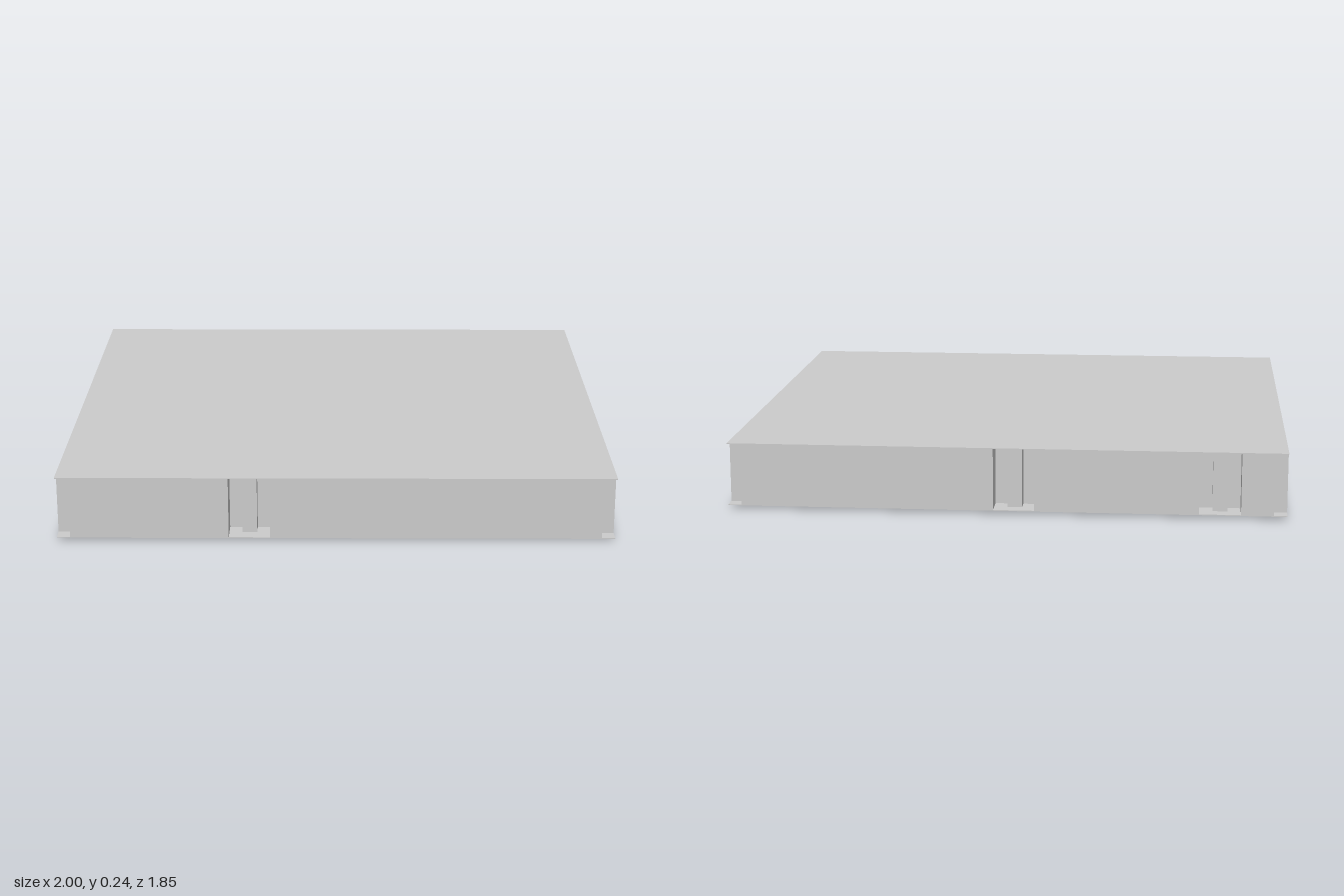
import * as THREE from 'three';

const X0 = -1, X1 = 0.995, Z = 0.925;   // plate extents
const BOTTOM = 0.012, TOP = 0.24, SHEET = 0.003;
const STEP = 0.048;                     // corner cut and slot step

// Each side runs anticlockwise seen from above: start, direction, inward normal, slot starts.
const W = X1 - X0, D = 2 * Z;
const sides = [
  { name: 'front', p: [X0, -Z], d: [1, 0], n: [0, 1], len: W, slots: [0.615] },
  { name: 'left', p: [X1, -Z], d: [0, 1], n: [-1, 0], len: D, slots: [0.155, 0.388, 0.82, 1.512] },
  { name: 'back', p: [X1, Z], d: [-1, 0], n: [0, -1], len: W, slots: [0.955, 1.685] },
  { name: 'right', p: [X0, Z], d: [0, -1], n: [1, 0], len: D, slots: [0.685, 1.115] },
];

// Outline with square corner cuts and slots that hold a recessed pier
function wallOutline() {
  const pts = [];
  for (const { p, d, n, len, slots } of sides) {
    const add = (s, inward) => pts.push(new THREE.Vector2(
      p[0] + d[0] * s + n[0] * inward, p[1] + d[1] * s + n[1] * inward));
    add(STEP, STEP);
    add(STEP, 0);
    for (const s of slots) {
      const a = s + 0.047, b = s + 0.1, e = s + 0.147;
      add(s, 0); add(s, 2 * STEP);
      add(a, 2 * STEP); add(a, STEP);
      add(b, STEP); add(b, 2 * STEP);
      add(e, 2 * STEP); add(e, 0);
    }
    add(len - STEP, 0);
  }
  return new THREE.Shape(pts);
}

export function createModel() {
  const model = new THREE.Group();
  model.name = 'slottedPanel';
  const material = new THREE.MeshStandardMaterial({ color: 0xcccccc, flatShading: true });

  const add = (name, geometry, x = 0, y = 0, z = 0) => {
    const mesh = new THREE.Mesh(geometry, material);
    mesh.name = name;
    mesh.position.set(x, y, z);
    model.add(mesh);
    return mesh;
  };

  // Walls between the two sheets
  const walls = new THREE.ExtrudeGeometry(wallOutline(), {
    depth: TOP - BOTTOM - 2 * SHEET, bevelEnabled: false,
  });
  walls.rotateX(-Math.PI / 2);
  add('walls', walls, 0, BOTTOM + SHEET, 0);

  // Thin cover sheets
  const sheet = new THREE.BoxGeometry(W, SHEET, D);
  const cx = (X0 + X1) / 2;
  add('topSheet', sheet, cx, TOP - SHEET / 2, 0);
  add('bottomSheet', sheet, cx, BOTTOM + SHEET / 2, 0);

  // Small ribs under the bottom sheet
  const ribs = [[0.805, 0.42, 0.11, 0.03], [-0.535, -0.005, 0.11, 0.03], [-0.98, 0.06, 0.03, 0.09]];
  for (const [x, z, w, d] of ribs) {
    add('underRib', new THREE.BoxGeometry(w, BOTTOM, d), x, BOTTOM / 2, z);
  }
  return model;
}
